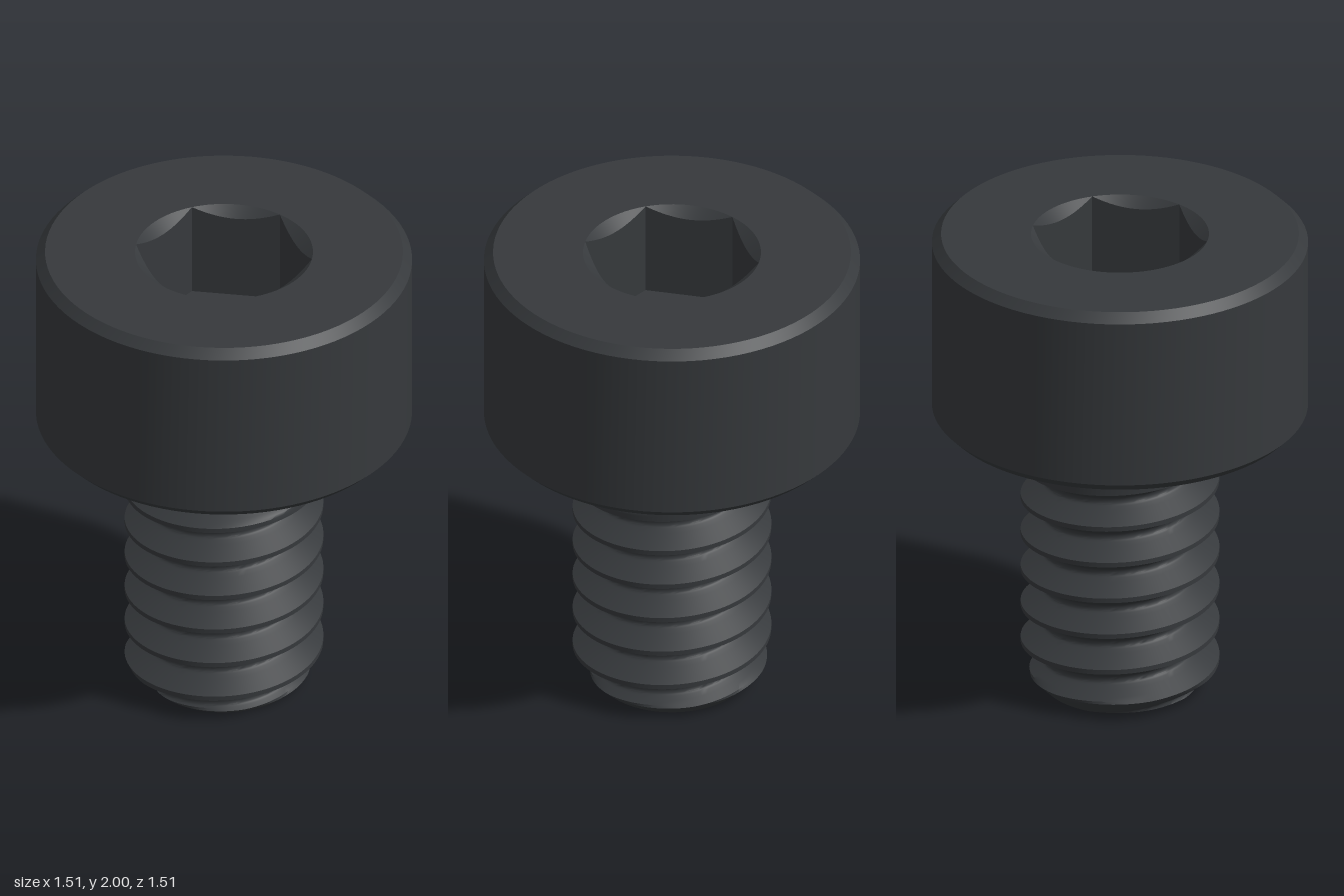
import * as THREE from 'three';
import { toCreasedNormals } from 'three/addons/utils/BufferGeometryUtils.js';

const SEGMENTS = 96;
const PITCH = 0.16, CREST = 0.4, ROOT = 0.3, NECK_Y = 1.165;
const HEAD_Y = 1.205, TOP_Y = 2;
const material = new THREE.MeshStandardMaterial({ color: 0x36393c });

// Surface swept around y: point(angle, row) gives [radius, height].
// Rows run upward along the outside, so faces point outward.
function sweep(name, rows, point) {
  const positions = [];
  const vertex = (i, j) => {
    const a = (i / SEGMENTS) * Math.PI * 2;
    const [r, y] = point(a, rows[j]);
    return new THREE.Vector3(r * Math.cos(a), y, -r * Math.sin(a));
  };
  const triangle = new THREE.Triangle();
  const add = (...corners) => {
    triangle.set(...corners);
    if (triangle.getArea() < 1e-9) return; // collapsed at an end or corner
    for (const p of corners) positions.push(p.x, p.y, p.z);
  };
  for (let i = 0; i < SEGMENTS; i++) {
    for (let j = 0; j < rows.length - 1; j++) {
      const a = vertex(i, j), b = vertex(i + 1, j);
      const c = vertex(i + 1, j + 1), d = vertex(i, j + 1);
      add(a, b, c);
      add(a, c, d);
    }
  }
  const geometry = new THREE.BufferGeometry();
  geometry.setAttribute('position', new THREE.Float32BufferAttribute(positions, 3));
  const mesh = new THREE.Mesh(toCreasedNormals(geometry, 0.6), material);
  mesh.name = name;
  return mesh;
}

// Half of one thread tooth: [distance from crest centre, radius]
const tooth = [[0, CREST], [0.01, CREST], [0.06, 0.313], [0.065, 0.3055], [0.07, 0.3015], [0.08, ROOT]];

function toothRadius(d) {
  for (let i = 1; i < tooth.length; i++) {
    const [d0, r0] = tooth[i - 1], [d1, r1] = tooth[i];
    if (d <= d1) return r0 + ((d - d0) / (d1 - d0)) * (r1 - r0);
  }
  return ROOT;
}

// Right-hand thread with a chamfered tip and a groove that runs out below the head
function threadRadius(a, y) {
  const lift = (a / (Math.PI * 2)) * PITCH;
  const rootY = Math.round((y - lift - PITCH / 2) / PITCH) * PITCH + PITCH / 2 + lift;
  const d = PITCH / 2 - Math.abs(y - rootY);
  const runout = THREE.MathUtils.clamp((rootY - 1.0) / 0.16, 0, 1) * (CREST - ROOT);
  return Math.min(CREST, toothRadius(d) + runout, 0.31 + y);
}

function threadedShank() {
  const half = [0.01, 0.02, 0.03, 0.04, 0.05, 0.06, 0.065, 0.07];
  const steps = [...half.map((d) => -d).reverse(), ...half, PITCH / 2];
  const rows = ['tip'];
  for (let k = -2; k <= 8; k++) for (const s of steps) rows.push(k * PITCH + s);
  return sweep('threadedShank', rows, (a, row) => {
    if (row === 'tip') return [0, 0];
    const y = THREE.MathUtils.clamp(row + (a / (Math.PI * 2)) * PITCH, 0, NECK_Y);
    return [threadRadius(a, y), y];
  });
}

// Fillet under the head, then the chamfered cylinder up to the socket rim
function head() {
  const outline = [];
  const fillet = HEAD_Y - NECK_Y;
  for (let i = 0; i <= 6; i++) {
    const t = (i / 6) * Math.PI / 2;
    outline.push([CREST + fillet * (1 - Math.cos(t)), NECK_Y + fillet * Math.sin(t)]);
  }
  outline.push([0.72, HEAD_Y], [0.757, 1.242], [0.757, 1.963], [0.72, TOP_Y], [0.358, TOP_Y]);
  return sweep('head', outline, (a, p) => p);
}

// Hexagonal recess with a conical lead-in that leaves a scallop on each flat
function hexSocket() {
  const flat = 0.31, rim = 0.358, floorY = 1.6;
  return sweep('hexSocket', ['rim', 'scallop', 'wall', 'floor'], (a, row) => {
    const sector = Math.PI / 3;
    const offset = (a % sector) - sector / 2;
    const r = Math.min(rim, flat / Math.cos(offset));
    if (row === 'rim') return [rim, TOP_Y];
    if (row === 'scallop') return [r, TOP_Y - (rim - r) * 0.8];
    return [row === 'wall' ? r : 0, floorY];
  });
}

export function createModel() {
  const screw = new THREE.Group();
  screw.name = 'socketHeadScrew';
  screw.add(threadedShank(), head(), hexSocket());
  return screw;
}
